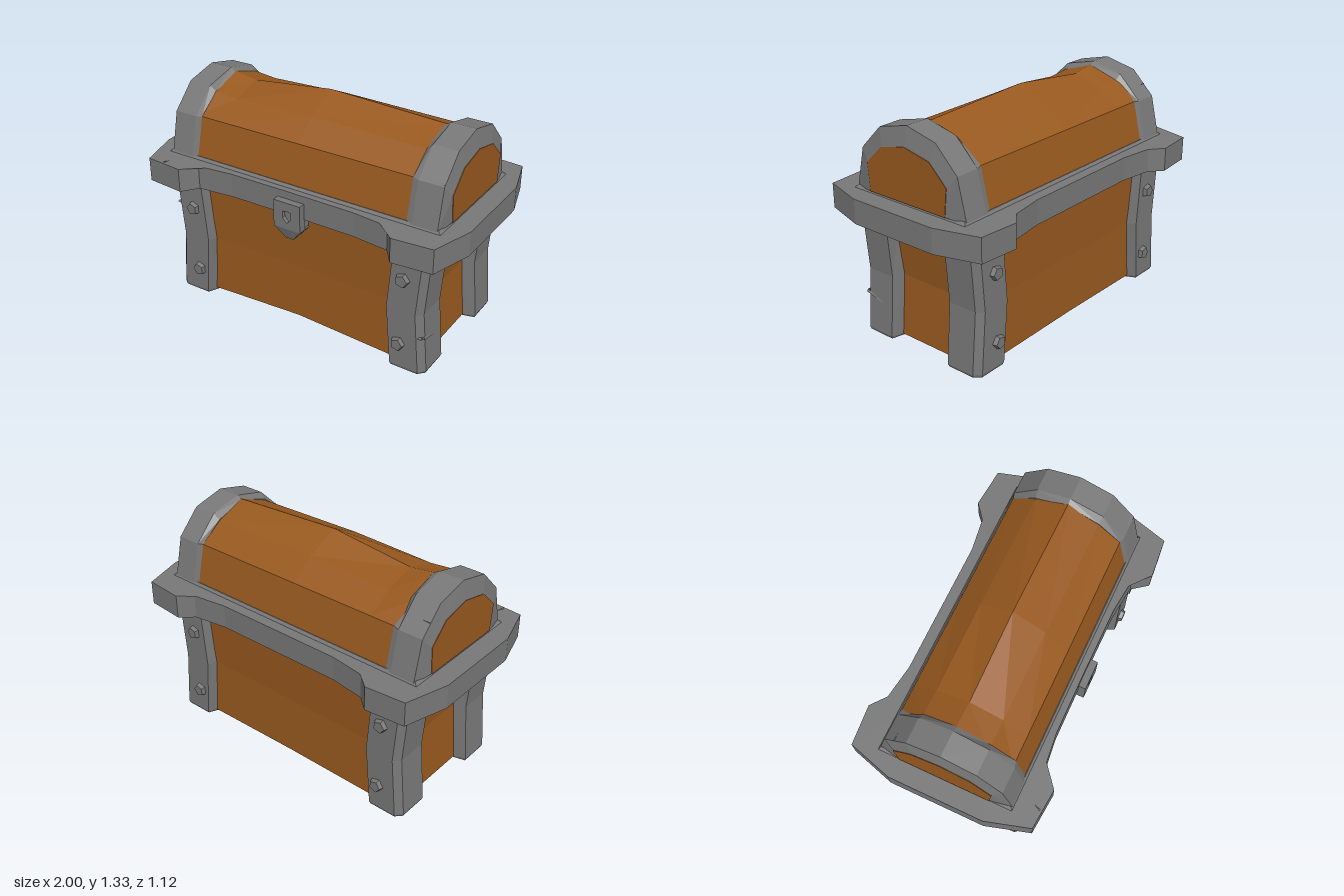
import * as THREE from 'three';

// Faceted solid through a list of rings (equal point counts), capped at both ends
function loft(rings) {
  const tris = [];
  const n = rings[0].length;
  for (let r = 0; r < rings.length - 1; r++) {
    for (let i = 0; i < n; i++) {
      const j = (i + 1) % n;
      const a = rings[r][i], b = rings[r][j], c = rings[r + 1][j], d = rings[r + 1][i];
      tris.push([a, b, c], [a, c, d]);
    }
  }
  const cap = (ring, flip) => {
    const mid = [0, 1, 2].map(k => ring.reduce((s, p) => s + p[k], 0) / n);
    ring.forEach((p, i) => {
      const q = ring[(i + 1) % n];
      tris.push(flip ? [mid, q, p] : [mid, p, q]);
    });
  };
  cap(rings[0], true);
  cap(rings[rings.length - 1], false);
  // Turn the faces outward whichever way the rings run
  let volume = 0;
  for (const [a, b, c] of tris) {
    volume += a[0] * (b[1] * c[2] - b[2] * c[1]) + a[1] * (b[2] * c[0] - b[0] * c[2]) + a[2] * (b[0] * c[1] - b[1] * c[0]);
  }
  if (volume < 0) tris.forEach(t => t.reverse());
  const geo = new THREE.BufferGeometry();
  geo.setAttribute('position', new THREE.Float32BufferAttribute(tris.flat(2), 3));
  geo.computeVertexNormals();
  return geo;
}

function faceted(geo) {
  const flat = geo.toNonIndexed();
  flat.computeVertexNormals();
  return flat;
}

export function createModel() {
  const chest = new THREE.Group();
  chest.name = 'chest';
  const wood = new THREE.MeshStandardMaterial({ color: 0x98591f });
  wood.name = 'wood';
  const iron = new THREE.MeshStandardMaterial({ color: 0x787878 });
  iron.name = 'iron';

  const add = (name, geo, mat) => {
    const mesh = new THREE.Mesh(geo, mat);
    mesh.name = name;
    chest.add(mesh);
    return mesh;
  };

  // Wooden body, pinched at mid height, with the lower edge lifted in the middle
  const bodyRing = (x, z, y, yFront, yBack) => [
    [x, y, z], [0, yFront, z], [-x, y, z], [-x, y, -z], [0, yBack, -z], [x, y, -z],
  ];
  add('body', loft([
    bodyRing(0.778, 0.38, 0.012, 0.05, 0.02),
    bodyRing(0.75, 0.372, 0.38, 0.38, 0.38),
    bodyRing(0.79, 0.385, 0.78, 0.78, 0.78),
  ]), wood);

  // Four corner posts, bent inward at the middle, with chamfered edges
  const legSection = [
    [0.605, 0.355], [0.64, 0.432], [0.815, 0.432], [0.85, 0.395],
    [0.85, 0.215], [0.75, 0.19], [0.65, 0.24],
  ];
  const legLevels = [ // y, x shift, inner z shift, size
    [0, 0, 0, 0.95], [0.016, 0, 0, 1], [0.38, -0.035, -0.006, 1], [0.76, 0.003, 0.01, 1],
  ];
  for (const sx of [-1, 1]) {
    for (const sz of [-1, 1]) {
      const rings = legLevels.map(([y, dx, dz, s]) => legSection.map(([x, z]) => [
        sx * (0.73 + (x - 0.73) * s + (x < 0.62 ? dx * 0.4 : dx * 0.85)),
        y,
        sz * (0.32 + (z - 0.32) * s + (z < 0.2 ? dz : 0)),
      ]));
      add('cornerPost', loft(rings), iron);

      // Five-sided studs on the front and back of each post
      for (const [x, y] of [[0.705, 0.578], [0.69, 0.165]]) {
        const stud = add('stud', faceted(new THREE.CylinderGeometry(0.036, 0.047, 0.04, 5)), iron);
        stud.rotation.set(sz * Math.PI / 2, 0.35 * sx, 0);
        stud.position.set(sx * x, y, sz * 0.437);
      }
    }
  }

  // Heavy rim with flared corners; its underside slopes in to meet the body
  const rimHalf = [
    [0, 0.435], [0.4, 0.438], [0.62, 0.462], [0.69, 0.555], [0.925, 0.535], [1, 0.28],
    [1, -0.28], [0.925, -0.54], [0.69, -0.56], [0.61, -0.49], [0.4, -0.46], [0, -0.46],
  ];
  const rimOutline = [...rimHalf, ...rimHalf.slice(1, -1).reverse().map(([x, z]) => [-x, z])];
  const rimRing = y => rimOutline.map(([x, z]) => [x, y, z]);
  const clamp = THREE.MathUtils.clamp;
  const underside = rimOutline.map(([x, z]) => [
    clamp(x, -0.78, 0.78), Math.abs(x) > 0.65 ? 0.71 : 0.735, clamp(z, -0.375, 0.375),
  ]);
  add('rim', loft([underside, rimRing(0.745), rimRing(0.888)]), iron);

  // Low sloping sill under the lid
  const sill = (x, z, y) => [[x, y, z], [-x, y, z], [-x, y, -z], [x, y, -z]];
  add('lidSill', loft([sill(0.89, 0.4, 0.885), sill(0.87, 0.385, 0.904)]), iron);

  // Half profiles as z, y pairs, mirrored into full arches
  const arch = (half, x) => [
    ...half.map(([z, y]) => [x, y, z]),
    ...half.slice(0, -1).reverse().map(([z, y]) => [x, y, -z]),
  ];
  const outer = [[0.393, 0.89], [0.337, 1.127], [0.197, 1.268], [0, 1.315]];
  const inner = [[0.268, 0.9], [0.283, 1.06], [0.17, 1.17], [0, 1.207]];
  const barrel = (top, shoulder) => [[0.382, 0.9], [0.327, 1.13], [0.19, shoulder], [0, top]];

  // Wooden barrel of the lid with an uneven ridge
  add('lidBarrel', loft([
    [-0.72, 1.302, 1.24], [-0.54, 1.276, 1.222], [-0.02, 1.334, 1.24], [0.72, 1.3, 1.228],
  ].map(([x, top, shoulder]) => arch(barrel(top, shoulder), x))), wood);

  // Iron arches at both lid ends, each framing a wooden panel
  for (const s of [-1, 1]) {
    add('lidArch', loft([
      arch(barrel(1.296, 1.235), s * 0.685), arch(outer, s * 0.72),
      arch(outer, s * 0.866), arch(inner, s * 0.888),
    ]), iron);
    add('lidEndPanel', loft([arch(inner, s * 0.884), arch(inner, s * 0.891)]), wood);
  }

  // Lock plate with a shield-shaped keyhole and a pointed lower tip
  const plate = new THREE.Shape([[-0.087, 0.68], [0.087, 0.68], [0.087, 0.842], [-0.087, 0.842]]
    .map(([x, y]) => new THREE.Vector2(x, y)));
  plate.holes.push(new THREE.Path([[0, 0.715], [-0.027, 0.745], [-0.027, 0.785], [0, 0.79], [0.027, 0.785], [0.027, 0.745]]
    .map(([x, y]) => new THREE.Vector2(x, y))));
  const lock = add('lockPlate', new THREE.ExtrudeGeometry(plate, { depth: 0.05, bevelEnabled: false }), iron);
  lock.position.z = 0.427;
  const lockBack = add('lockBack', new THREE.BoxGeometry(0.16, 0.15, 0.09), iron);
  lockBack.position.set(0, 0.76, 0.41);
  add('lockTip', loft([
    [[-0.087, 0.68, 0.37], [0.087, 0.68, 0.37], [0.087, 0.68, 0.477], [-0.087, 0.68, 0.477]],
    [[-0.025, 0.607, 0.37], [0.025, 0.607, 0.37], [0.025, 0.607, 0.452], [-0.025, 0.607, 0.452]],
  ]), iron);

  // Small chips in the ironwork: slim slivers running from a wide end to a point
  const chips = [
    [[0.833, 0.238, 0.41], [0.836, 0.197, 0.27]],
    [[-0.825, 0.587, 0.422], [-0.77, 0.572, 0.43]],
    [[0.825, 0.236, 0.417], [0.77, 0.23, 0.428]],
    [[-0.83, 0.88, 0.537], [-0.81, 0.835, 0.543]],
    [[-0.82, 0.884, 0.53], [-0.8, 0.886, 0.48]],
    [[-0.865, 1.185, -0.27], [-0.75, 1.19, -0.268]],
    [[0.86, 1.133, 0.328], [0.73, 1.138, 0.322]],
  ];
  for (const [a, b] of chips) {
    const from = new THREE.Vector3(...a), to = new THREE.Vector3(...b);
    const axis = to.clone().sub(from);
    const chip = add('chip', faceted(new THREE.ConeGeometry(0.01, axis.length(), 3)), iron);
    chip.position.copy(from).add(to).multiplyScalar(0.5);
    chip.quaternion.setFromUnitVectors(new THREE.Vector3(0, 1, 0), axis.normalize());
  }

  return chest;
}
